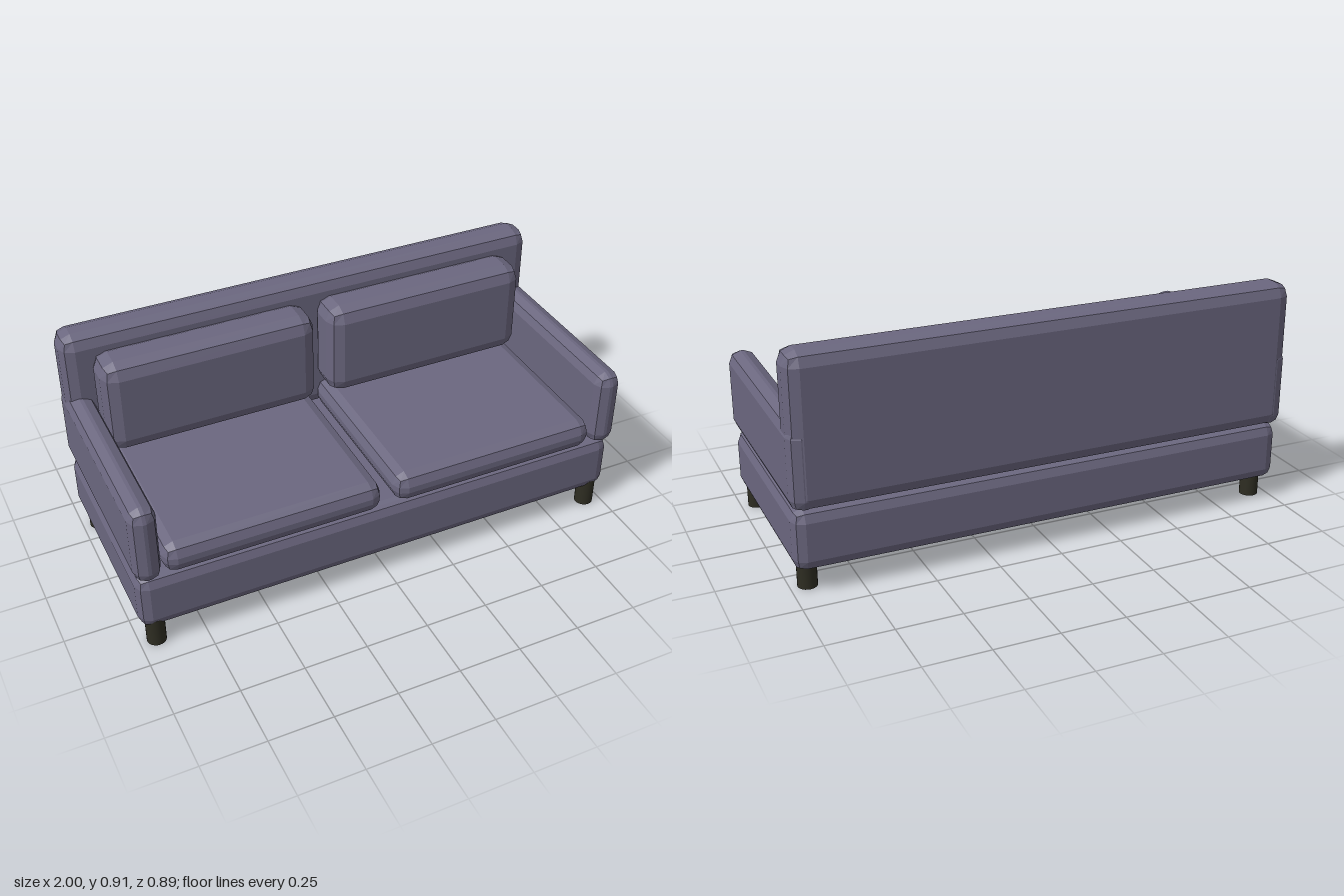
import * as THREE from 'three';
import { RoundedBoxGeometry } from 'three/addons/geometries/RoundedBoxGeometry.js';

export function createModel() {
  const sofa = new THREE.Group();
  sofa.name = 'sofa';

  const fabric = new THREE.MeshStandardMaterial({ color: 0x6b677f, flatShading: true });
  fabric.name = 'greyVioletFabric';
  const wood = new THREE.MeshStandardMaterial({ color: 0x2e2d22 });
  wood.name = 'darkWood';

  // Upholstered block with two-step bevels, given by its [min, max] on each axis
  function block(name, [x0, x1], [y0, y1], [z0, z1], bevel) {
    const geometry = new RoundedBoxGeometry(x1 - x0, y1 - y0, z1 - z0, 1, bevel);
    const mesh = new THREE.Mesh(geometry, fabric);
    mesh.name = name;
    mesh.position.set((x0 + x1) / 2, (y0 + y1) / 2, (z0 + z1) / 2);
    sofa.add(mesh);
  }

  // Frame
  block('base', [-0.995, 0.995], [0.09, 0.328], [-0.422, 0.422], 0.045);
  block('backrest', [-0.997, 0.997], [0.33, 0.915], [-0.445, -0.293], 0.052);
  block('leftArm', [0.895, 1], [0.329, 0.654], [-0.443, 0.445], 0.046);
  block('rightArm', [-1, -0.895], [0.329, 0.654], [-0.443, 0.445], 0.046);

  // Seat and back cushions
  for (const [side, x] of [['left', 0.455], ['right', -0.46]]) {
    const span = [x - 0.43, x + 0.43];
    block(side + 'SeatCushion', span, [0.333, 0.454], [-0.33, 0.44], 0.048);
    block(side + 'BackCushion', span, [0.461, 0.847], [-0.333, -0.143], 0.058);
  }

  // Legs, sunk a little into the base
  const legGeometry = new THREE.CylinderGeometry(0.037, 0.037, 0.12, 24);
  for (const [side, x] of [['left', 0.935], ['right', -0.935]]) {
    for (const [end, z] of [['Front', 0.38], ['Back', -0.336]]) {
      const leg = new THREE.Mesh(legGeometry, wood);
      leg.name = side + end + 'Leg';
      leg.position.set(x, 0.06, z);
      sofa.add(leg);
    }
  }

  return sofa;
}
